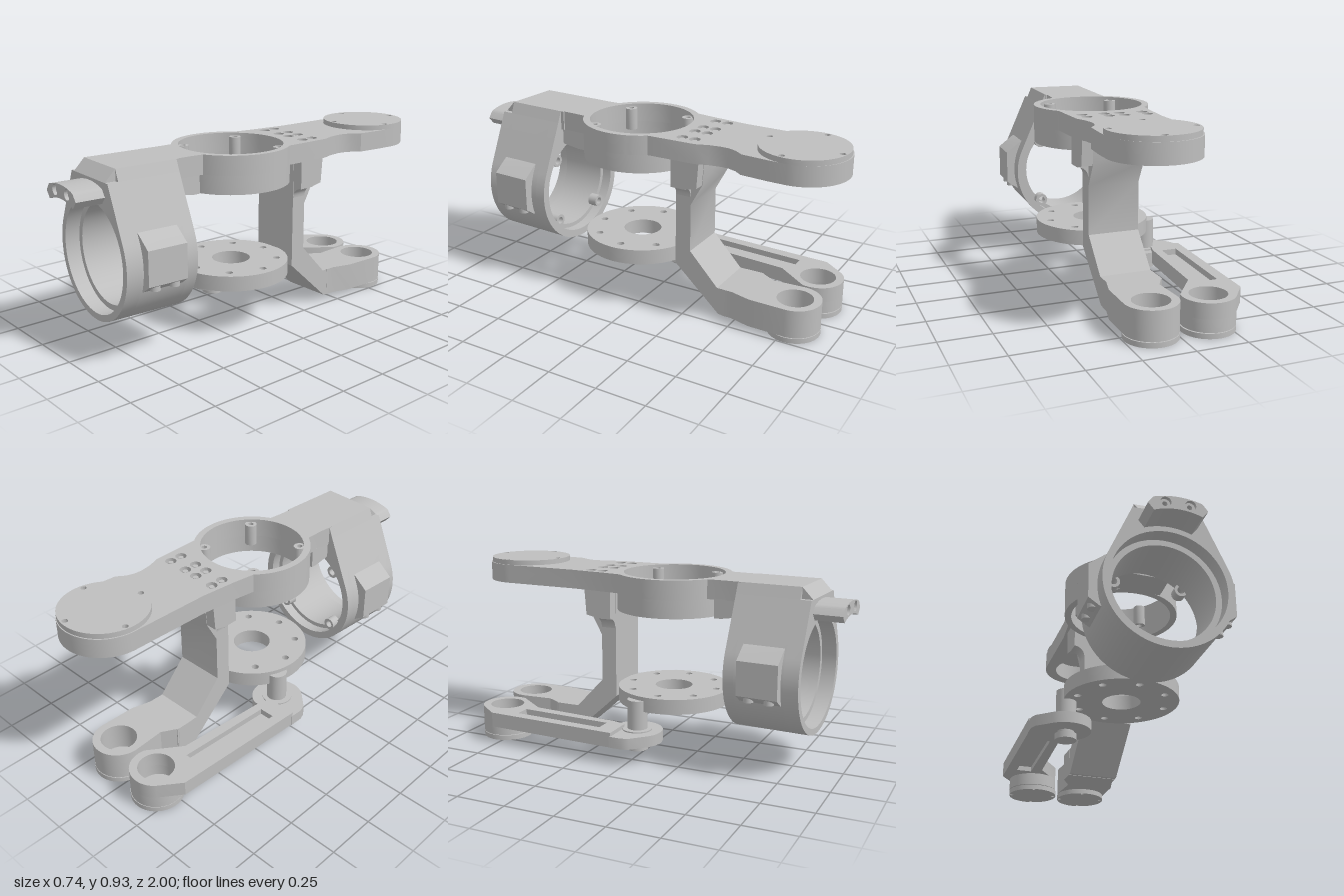
import * as THREE from 'three';
import { toCreasedNormals } from 'three/addons/utils/BufferGeometryUtils.js';

export function createModel() {
  const model = new THREE.Group();
  const grey = new THREE.MeshStandardMaterial({ color: 0xbebebe });
  grey.name = 'machined grey';
  const D = Math.PI / 180;

  function add(name, geo, parent = model) {
    const m = new THREE.Mesh(geo, grey);
    m.name = name;
    parent.add(m);
    return m;
  }
  // points on an arc, angles in degrees
  function arc(cx, cy, r, a0, a1, n = 24) {
    return Array.from({ length: n + 1 }, (_, i) => {
      const a = (a0 + (a1 - a0) * i / n) * D;
      return [cx + r * Math.cos(a), cy + r * Math.sin(a)];
    });
  }
  const circle = (cx, cy, r, n = 40) => arc(cx, cy, r, 0, 360 * (n - 1) / n, n - 1);
  // points as vectors, wound clockwise or counter-clockwise as asked
  function wound(pts, clockwise) {
    const v = pts.map(p => new THREE.Vector2(p[0], p[1]));
    return THREE.ShapeUtils.isClockWise(v) === clockwise ? v : v.reverse();
  }
  // outline with holes, swept between two depths
  function sweep(outline, holes, d0, d1) {
    const s = new THREE.Shape(wound(outline, false));
    holes.forEach(h => s.holes.push(new THREE.Path(wound(h, true))));
    const g = new THREE.ExtrudeGeometry(s, { depth: d1 - d0, bevelEnabled: false });
    return toCreasedNormals(g.translate(0, 0, d0), 0.5);
  }
  // plan outline given as (x, z), raised from y0 to y1
  function plan(outline, holes, y0, y1) {
    const f = pts => pts.map(([x, z]) => [x, -z]);
    return sweep(f(outline), holes.map(f), y0, y1).rotateX(-Math.PI / 2);
  }
  // side profile given as (z, y), swept from x0 to x1
  function side(profile, x0, x1) {
    return sweep(profile.map(([z, y]) => [-z, y]), [], x0, x1).rotateY(Math.PI / 2);
  }
  function rod(name, x, z, r, y0, y1, parent) {
    const g = new THREE.CylinderGeometry(r, r, y1 - y0, 28);
    return add(name, g.translate(x, (y0 + y1) / 2, z), parent);
  }
  // round cover with four small screw holes
  function cover(name, x, z, r, y0, y1) {
    const holes = [10, 100, 190, 280].map(a =>
      circle(x + r * 0.9 * Math.cos(a * D), z + r * 0.9 * Math.sin(a * D), r * 0.07, 12));
    add(name, plan(circle(x, z, r, 56), holes, y0, y1));
  }

  // upper arm plate with bearing ring
  const RX = 0.062, RZ = 0.09, RR = 0.288;
  const bolts = [];
  [-0.068, 0.045, 0.12, 0.228].forEach(x => {
    bolts.push([x, -0.31 + x * 0.06], [x, -0.245 + x * 0.06]);
  });
  const outline = [
    ...arc(0.115, -0.79, 0.21, 180, 360, 36), [0.322, -0.7], [0.31, -0.57],
    [0.28, -0.53], [0.265, -0.49], [0.262, -0.45], [0.27, -0.39], [0.29, -0.33],
    ...arc(RX, RZ, RR, -37, 66, 30), [0.172, 0.42], [0.168, 0.5], [-0.107, 0.5], [-0.1, 0.42],
    ...arc(RX, RZ, RR, 124, 225, 30), [-0.125, -0.22], [-0.105, -0.4],
  ];
  add('upperArm', plan(outline,
    [circle(RX, RZ, 0.255, 64), circle(0.115, -0.79, 0.15), ...bolts.map(b => circle(b[0], b[1], 0.027, 20))],
    0.81, 0.905));
  add('bearingRing', plan(circle(RX, RZ, RR, 72), [circle(RX, RZ, 0.255, 64)], 0.72, 0.81));
  bolts.forEach(([x, z]) => {
    rod('armBoltSeat', x, z, 0.029, 0.812, 0.88);
    rod('armBolt', x, z, 0.013, 0.88, 0.898);
  });
  [45, 135, 225, 315].forEach(a => {
    const x = RX + 0.235 * Math.cos(a * D), z = RZ + 0.235 * Math.sin(a * D);
    add('ringBoss', plan(circle(x, z, 0.03, 20), [circle(x, z, 0.014, 14)], 0.78, 0.89));
  });
  cover('upperCover', 0.118, -0.787, 0.208, 0.905, 0.93);
  add('neckRib', side([[0.365, 0.72], [0.4, 0.72], [0.495, 0.735], [0.495, 0.815], [0.365, 0.815]], -0.1, 0.168));

  // hanging post, flared at the top, and its lower arm
  add('post', side([[-0.19, 0.81], [-0.19, 0.25], [-0.43, 0.03], [-0.55, 0.03], [-0.55, 0.17],
    [-0.42, 0.17], [-0.27, 0.33], [-0.27, 0.57], [-0.33, 0.68], [-0.34, 0.81]], -0.045, 0.212));
  add('postFlare', sweep([[-0.1, 0.812], [-0.1, 0.665], ...arc(-0.1, 0.61, 0.055, 90, 0, 8),
    ...arc(0.267, 0.61, 0.055, 180, 90, 8), [0.267, 0.812]], [], -0.27, -0.192));
  add('postHead', side([[-0.26, 0.812], [-0.26, 0.665], [-0.328, 0.68], [-0.338, 0.812]], -0.1, 0.267));
  add('lowerArm', plan([...arc(0.117, -0.785, 0.127, 180, 360, 30), [0.24, -0.6], [0.213, -0.5], [0.213, -0.45],
    [-0.046, -0.45], [-0.046, -0.54], [0.0, -0.62], [-0.005, -0.7]],
  [circle(0.117, -0.785, 0.088)], 0.028, 0.17));
  cover('lowerArmCover', 0.117, -0.785, 0.128, 0, 0.025);
  rod('lowerArmCoverSeat', 0.117, -0.785, 0.118, 0.02, 0.032);

  // crank lever with a pocketed bar
  const slot = [[-0.285, -0.64], [-0.207, -0.64], [-0.232, -0.15], [-0.31, -0.15]];
  const bore = circle(-0.16, -0.79, 0.088);
  add('leverBar', plan([[-0.335, -0.77], ...arc(-0.16, -0.79, 0.127, 222, 375, 28), [-0.155, -0.6],
    [-0.19, -0.13], [-0.21, -0.06], [-0.365, -0.06]], [slot, bore], 0.09, 0.165));
  add('leverWeb', plan(slot, [], 0.115, 0.135));
  add('leverHub', plan(circle(-0.16, -0.79, 0.127), [bore], 0.028, 0.09));
  cover('leverCover', -0.158, -0.79, 0.128, 0, 0.025);
  rod('leverCoverSeat', -0.158, -0.79, 0.118, 0.02, 0.032);
  add('leverEnd', plan([...arc(-0.2, 0.005, 0.128, -70, 135, 30), [-0.355, 0.035], [-0.368, 0], [-0.367, -0.07],
    [-0.2, -0.11]], [], 0.09, 0.146));
  rod('pivotCollar', -0.2, 0.005, 0.075, 0.14, 0.152);
  rod('pivotPin', -0.196, 0.005, 0.05, 0.146, 0.3);
  rod('pivotNeck', -0.196, 0.005, 0.04, 0.07, 0.092);
  rod('pivotScrew', -0.196, 0.005, 0.054, 0.044, 0.075);

  // turntable disc
  const discHoles = [circle(RX, RZ, 0.095)];
  for (let i = 0; i < 8; i++) {
    const a = (i * 45 - 3) * D;
    discHoles.push(circle(RX + 0.228 * Math.cos(a), RZ + 0.228 * Math.sin(a), 0.018, 16));
  }
  add('disc', plan(circle(RX, RZ, 0.285, 72), discHoles, 0.245, 0.32));

  // slightly turned clamp, round below and tapering up to the arm
  const clamp = new THREE.Group();
  clamp.name = 'clamp';
  clamp.position.set(0.025, 0, 0.675);
  clamp.rotation.y = -0.055;
  model.add(clamp);
  const body = [...arc(0, 0.48, 0.3, 156, 384, 64), [0.163, 0.85], [-0.163, 0.85]];
  [[-0.183, -0.13, 0.262], [-0.13, 0.11, 0.24], [0.11, 0.183, 0.268]].forEach(([z0, z1, r]) =>
    add('clampBody', sweep(body, [circle(0, 0.48, r, 64)], z0, z1), clamp));
  add('clampTop', side([[-0.2, 0.81], [-0.2, 0.905], [0.13, 0.905], [0.183, 0.85], [0.183, 0.81]], -0.14, 0.14), clamp);
  [-1, 1].forEach(s => {
    // sloped shoulders beside the top strip
    const shoulder = [[s * 0.13, 0.905], [s * 0.14, 0.905], [s * 0.163, 0.85], [s * 0.13, 0.85]];
    add('clampShoulder', sweep(shoulder, [], -0.183, 0.13), clamp);
    // side lugs with clamp screws
    const lug = [[0.262, -0.11], [0.29, -0.1], [0.34, -0.065], [0.34, 0.1], [0.268, 0.155], [0.225, 0.18], [0.25, 0.05]];
    add('clampLug', sweep(lug.map(([x, y]) => [s * x, 0.48 + y]), [], -0.1, 0.1), clamp);
    [-0.05, 0.05].forEach(z => rod('clampScrew', s * 0.308, z, 0.024, 0.385, 0.43, clamp));
    // eyelets inside the rear rim
    [-1, 1].forEach(t => {
      const x = s * 0.165, y = 0.48 + t * 0.165;
      add('eyelet', sweep(circle(x, y, 0.032, 24), [circle(x, y, 0.018, 18)], -0.17, -0.12), clamp);
    });
  });
  // front tab with two bolts
  const boltX = [-0.055, 0.058];
  add('frontTab', sweep([...arc(0, 0.48, 0.293, 112, 68, 14), [0.137, 0.785], [0.115, 0.815],
    ...arc(0, 0.48, 0.357, 72, 108, 14), [-0.115, 0.815], [-0.137, 0.785]],
  boltX.map(x => circle(x, 0.803, 0.025, 20)), 0.17, 0.322), clamp);
  boltX.forEach(x => add('tabBolt', sweep(circle(x, 0.803, 0.026, 20), [circle(x, 0.803, 0.012, 12)], 0.18, 0.305), clamp));

  return model;
}
